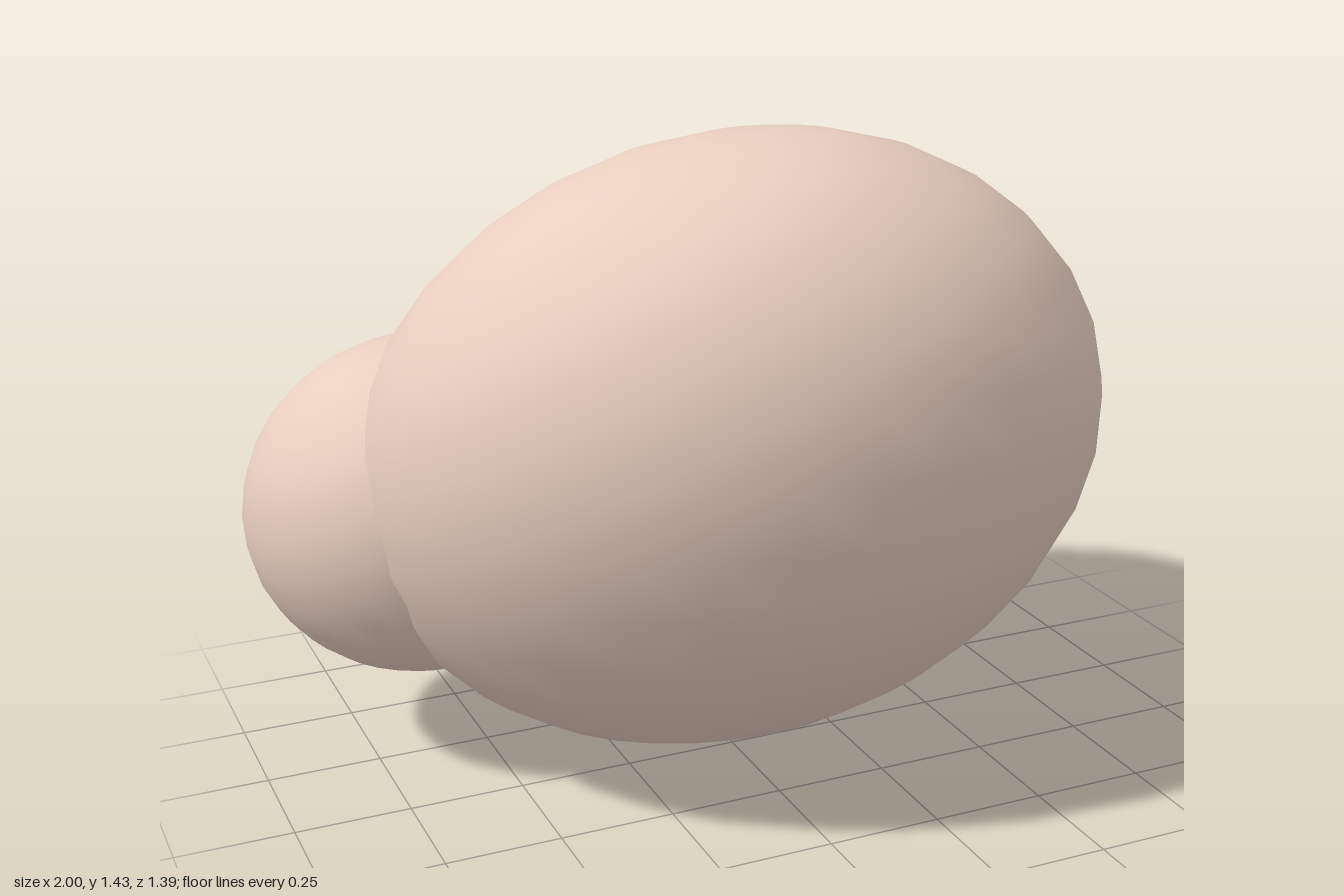
import * as THREE from 'three';

const skin = new THREE.MeshStandardMaterial({ color: 0xe8cebf });

// Ellipsoid with half sizes (rx, ry, rz) whose top leans forward by `lean`
function leaningEllipsoid(name, [rx, ry, rz], lean, [x, y, z]) {
  const geometry = new THREE.SphereGeometry(1, 32, 16);
  geometry.applyMatrix4(new THREE.Matrix4().set(
    rx, 0, 0, 0,
    0, ry, 0, 0,
    0, lean, rz, 0,
    0, 0, 0, 1
  ));
  const mesh = new THREE.Mesh(geometry, skin);
  mesh.name = name;
  mesh.position.set(x, y, z);
  return mesh;
}

export function createModel() {
  const group = new THREE.Group();
  group.name = 'roundedBody';

  // Large central body, tilted forward
  group.add(leaningEllipsoid('body', [0.82, 0.715, 0.672], 0.19, [0, 0.72, 0]));

  // Mirrored side lobes, low and towards the back
  for (const side of [1, -1]) {
    group.add(leaningEllipsoid(side > 0 ? 'leftLobe' : 'rightLobe',
      [0.39, 0.388, 0.41], 0.065, [side * 0.61, 0.59, -0.27]));
  }
  return group;
}
